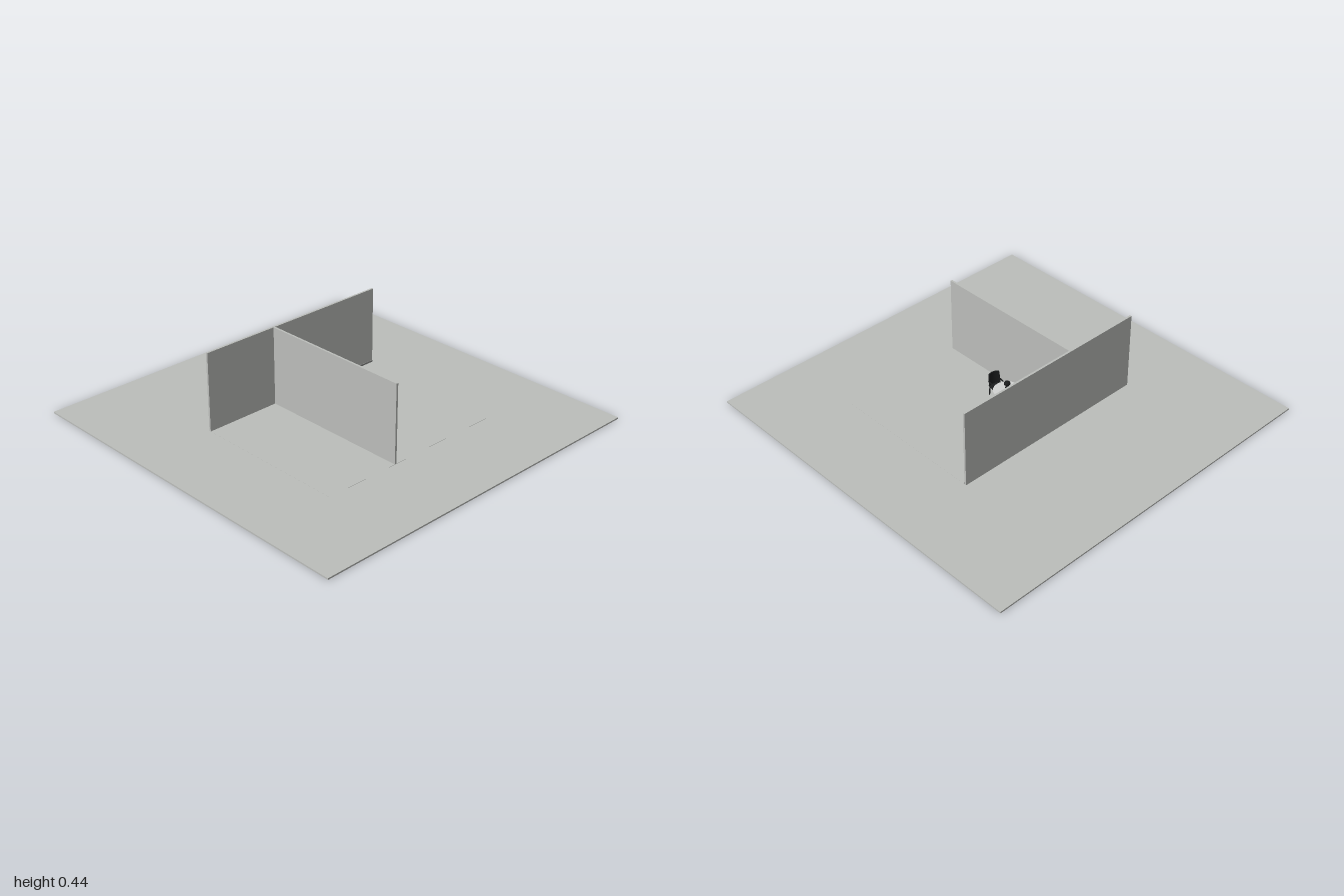
import * as THREE from 'three';
import { RoundedBoxGeometry } from 'three/addons/geometries/RoundedBoxGeometry.js';

const mat = (name, color) => {
  const m = new THREE.MeshStandardMaterial({ color });
  m.name = name;
  return m;
};

export function createModel() {
  const root = new THREE.Group();
  root.name = 'exhibitionStand';
  const grey = mat('panelGrey', 0xbcbebb);
  const skirt = mat('skirtingGrey', 0x8a8b89);
  const white = mat('tableWhite', 0xd2d3d2);
  const black = mat('chairBlack', 0x1b1c1d);

  const add = (parent, name, geo, material, x, y, z) => {
    const m = new THREE.Mesh(geo, material);
    m.name = name;
    m.position.set(x, y, z);
    parent.add(m);
    return m;
  };
  const box = (w, h, d) => new THREE.BoxGeometry(w, h, d);
  const lathe = (pts, n) => new THREE.LatheGeometry(pts.map(p => new THREE.Vector2(...p)), n);

  // Ground slab and the stand's own floor
  const top = 0.008;
  add(root, 'groundSlab', box(2, top, 2), grey, 0, top / 2, 0);
  add(root, 'standFloor', box(1.12, 0.0006, 0.85), grey, 0, top + 0.0003, 0.125);

  // Partition walls in a T plan
  add(root, 'backWall', box(1.12, 0.427, 0.011), grey, 0, top + 0.2135, -0.3);
  add(root, 'sideWall', box(0.011, 0.427, 0.845), grey, -0.133, top + 0.2135, 0.128);
  add(root, 'backSkirting', box(0.687, 0.01, 0.003), skirt, 0.2165, top + 0.005, -0.293);

  // Round pedestal table
  const table = new THREE.Group();
  table.name = 'table';
  root.add(table);
  add(table, 'tableTop', new THREE.CylinderGeometry(0.071, 0.071, 0.006, 48), white, 0, 0.1, 0);
  add(table, 'pedestal', lathe([[0, 0], [0.034, 0], [0.034, 0.004], [0.025, 0.008],
    [0.022, 0.05], [0.025, 0.09], [0, 0.09]], 32), white, 0, top, 0);

  // Small vase with a ball of foliage
  add(table, 'vase', lathe([[0, 0], [0.009, 0], [0.011, 0.012], [0.006, 0.024],
    [0.007, 0.032], [0, 0.032]], 20), black, 0, 0.103, 0);
  const foliage = add(table, 'foliage', new THREE.IcosahedronGeometry(0.017, 2), black, 0, 0.144, 0);
  foliage.scale.y = 0.75;

  // Chair: backrest is on local +z, seat faces the table
  const makeChair = () => {
    const c = new THREE.Group();
    c.name = 'chair';
    add(c, 'seat', new RoundedBoxGeometry(0.064, 0.01, 0.06, 2, 0.004), black, 0, 0.058, 0);
    for (const sx of [-1, 1]) {
      for (const sz of [-1, 1]) {
        const leg = add(c, 'leg', new THREE.CylinderGeometry(0.0035, 0.0028, 0.055, 10), black,
          sx * 0.027, 0.0275, sz * 0.025);
        leg.rotation.x = -sz * 0.06;
      }
      // Arm rail and its front post
      add(c, 'armRail', box(0.005, 0.004, 0.05), black, sx * 0.031, 0.084, 0.004);
      add(c, 'armPost', box(0.004, 0.026, 0.004), black, sx * 0.031, 0.07, -0.018);
    }
    // Curved, slightly reclined backrest
    const back = new THREE.BoxGeometry(0.066, 0.068, 0.006, 10, 4, 1);
    const p = back.attributes.position;
    for (let i = 0; i < p.count; i++) {
      const x = p.getX(i), y = p.getY(i);
      p.setZ(i, p.getZ(i) - 9 * x * x + 0.12 * (y + 0.034));
      p.setX(i, x * (1 - Math.max(0, y) * 3));
    }
    back.computeVertexNormals();
    add(c, 'backrest', back, black, 0, 0.094, 0.029);
    return c;
  };

  // Three chairs around the table: [bearing in degrees, distance]
  for (const [deg, r] of [[-10, 0.092], [126, 0.088], [-114, 0.092]]) {
    const a = THREE.MathUtils.degToRad(deg);
    const chair = makeChair();
    chair.position.set(Math.sin(a) * r, top, Math.cos(a) * r);
    chair.rotation.y = a;
    root.add(chair);
  }
  return root;
}
